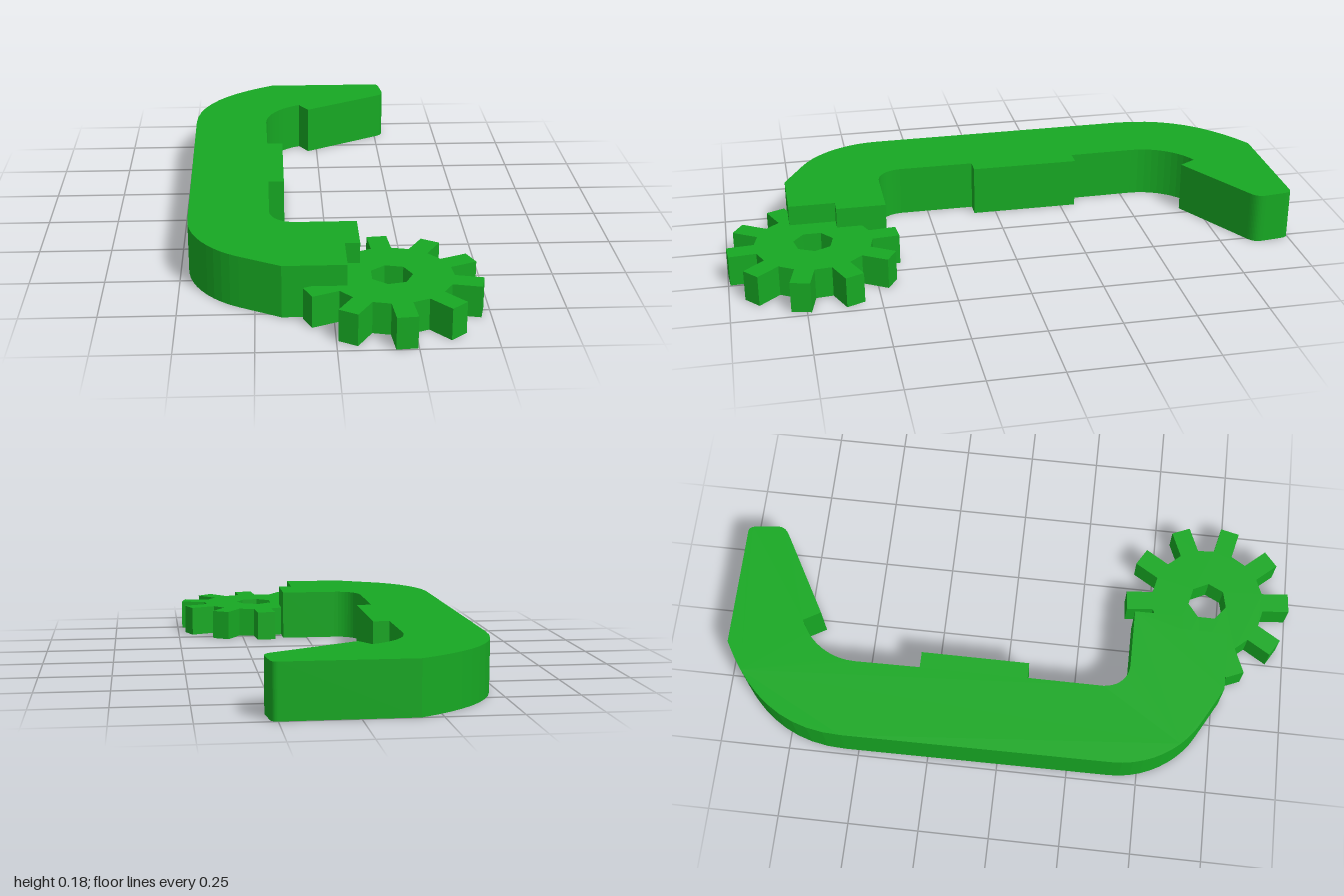
import * as THREE from 'three';

const material = new THREE.MeshStandardMaterial({ color: 0x17a823, flatShading: true });

// Extrudes a plan drawn in (x, -z) upward from the ground.
function plate(name, shape, height) {
  const geometry = new THREE.ExtrudeGeometry(shape, { depth: height, bevelEnabled: false, curveSegments: 10 });
  geometry.rotateX(-Math.PI / 2);
  const mesh = new THREE.Mesh(geometry, material);
  mesh.name = name;
  return mesh;
}

// Hooked arm, outlined in plan with rounded bends.
function armShape() {
  const s = new THREE.Shape();
  const line = (...points) => points.forEach(([x, z]) => s.lineTo(x, -z));
  const bend = (ax, az, bx, bz, x, z) => s.bezierCurveTo(ax, -az, bx, -bz, x, -z);
  s.moveTo(-0.18, 1);
  // Pointed jaw
  line([0.25, 1 * -1]);
  bend(0.265, -1, 0.272, -0.99, 0.274, -0.97);
  line([0.282, -0.9]);
  bend(0.284, -0.875, 0.275, -0.862, 0.255, -0.85);
  line([-0.035, -0.685], [-0.07, -0.745]);
  bend(-0.15, -0.71, -0.205, -0.63, -0.205, -0.54);
  // Pad on the inner side of the spine
  line([-0.202, -0.305], [-0.145, -0.305], [-0.145, 0.08], [-0.2, 0.08], [-0.2, 0.35]);
  bend(-0.195, 0.405, -0.16, 0.438, -0.11, 0.438);
  // Stepped end above the gear
  line([0.093, 0.438], [0.093, 0.612], [0.043, 0.612], [0.043, 0.775], [-0.165, 0.775], [-0.3, 0.7]);
  // Outer side
  bend(-0.4, 0.645, -0.474, 0.53, -0.474, 0.4);
  line([-0.48, -0.55]);
  bend(-0.48, -0.77, -0.36, -0.9, -0.18, -1);
  return s;
}

// Gear with ten square teeth and a seven-sided bore.
function gearShape() {
  const teeth = 10, root = 0.2, tip = 0.295, half = 0.034;
  const points = [];
  for (let i = 0; i < teeth; i++) {
    const a = -THREE.MathUtils.degToRad(13) + (i / teeth) * Math.PI * 2;
    for (const [r, w] of [[root, -half], [tip, -half], [tip, half], [root, half]]) {
      points.push(new THREE.Vector2(r * Math.cos(a) - w * Math.sin(a), r * Math.sin(a) + w * Math.cos(a)));
    }
  }
  const shape = new THREE.Shape(points);
  const bore = [];
  for (let i = 0; i < 7; i++) {
    const a = (-i / 7) * Math.PI * 2;
    bore.push(new THREE.Vector2(0.07 * Math.cos(a), 0.07 * Math.sin(a)));
  }
  shape.holes.push(new THREE.Path(bore));
  return shape;
}

export function createModel() {
  const model = new THREE.Group();
  model.name = 'hookWithGear';
  const gear = plate('gear', gearShape(), 0.108);
  gear.position.set(0.187, 0, 0.702);
  model.add(plate('hookArm', armShape(), 0.18), gear);
  return model;
}
